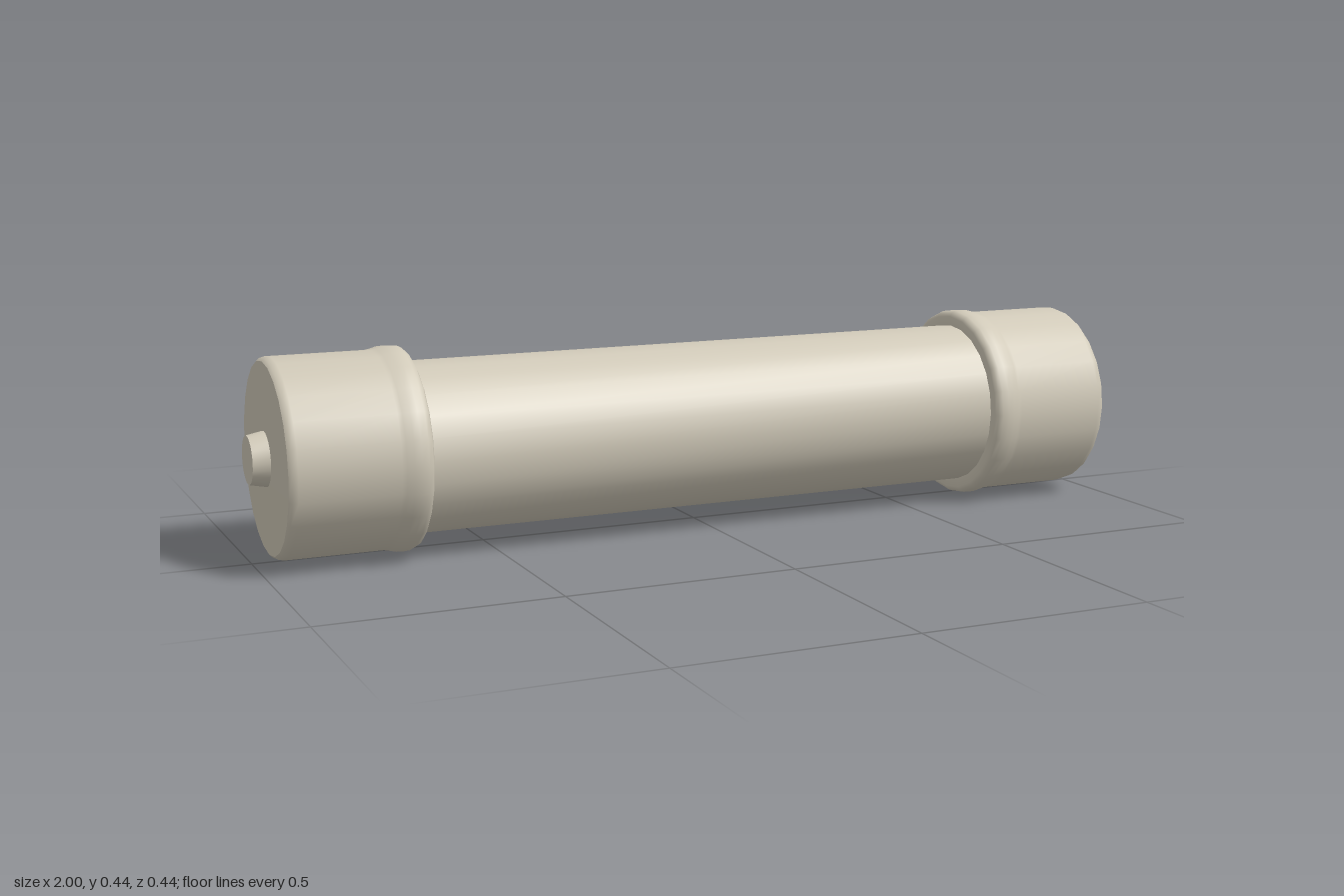
import * as THREE from 'three';
import { toCreasedNormals } from 'three/addons/utils/BufferGeometryUtils.js';

const AXIS_Y = 0.218;
const SIDES = 24;

// Turned part along the x axis; profile is [radius, x] with x rising.
function turned(name, profile, material) {
  const points = profile.map(([r, x]) => new THREE.Vector2(r, x));
  const geometry = new THREE.LatheGeometry(points, SIDES);
  geometry.rotateZ(-Math.PI / 2);
  const mesh = new THREE.Mesh(toCreasedNormals(geometry, 0.7), material);
  mesh.name = name;
  return mesh;
}

export function createModel() {
  const ivory = new THREE.MeshStandardMaterial({ color: 0xd0c9b8 });
  ivory.name = 'ivory';

  const model = new THREE.Group();
  model.name = 'cappedTube';

  // Long central tube, its ends hidden in the caps
  const tube = turned('tube', [[0.183, -0.7], [0.183, 0.7]], ivory);
  tube.position.y = AXIS_Y;
  model.add(tube);

  for (const side of [1, -1]) {
    const end = new THREE.Group();
    end.name = side > 0 ? 'leftEnd' : 'rightEnd';

    // Cap with a raised rolled lip and a rounded outer rim
    end.add(turned('cap', [
      [0.18, 0.668], [0.204, 0.666], [0.212, 0.67], [0.217, 0.68], [0.218, 0.695],
      [0.217, 0.71], [0.213, 0.725], [0.211, 0.735], [0.211, 0.945],
      [0.208, 0.957], [0.202, 0.963], [0, 0.965],
    ], ivory));

    // Tapered contact pin
    end.add(turned('pin', [[0.059, 0.96], [0.051, 1], [0, 1]], ivory));

    end.position.y = AXIS_Y;
    if (side < 0) end.rotation.y = Math.PI;
    model.add(end);
  }
  return model;
}
